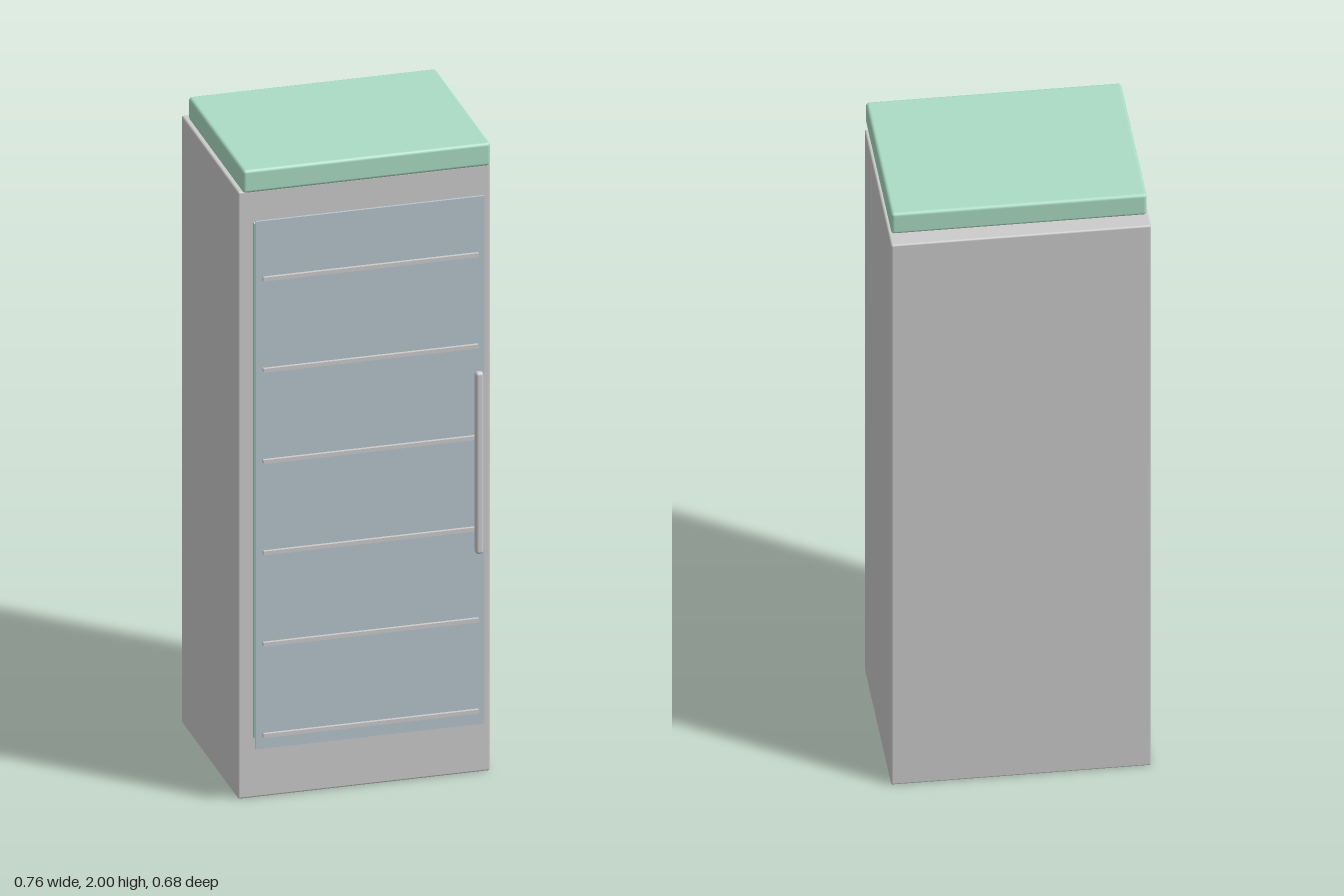
import * as THREE from 'three';
import { RoundedBoxGeometry } from 'three/addons/geometries/RoundedBoxGeometry.js';

const mat = (color, flatShading = false) => new THREE.MeshStandardMaterial({ color, flatShading });

export function createModel() {
  const model = new THREE.Group();
  const grey = mat(0xcccccc);
  const green = mat(0xaadcc4);
  const glass = mat(0xb6c5cd);
  const canMats = [mat(0xcccccc, true), mat(0xc42b20, true), mat(0x2458b8, true)];

  const add = (name, geometry, material, x, y, z, parent = model) => {
    const mesh = new THREE.Mesh(geometry, material);
    mesh.name = name;
    mesh.position.set(x, y, z);
    parent.add(mesh);
    return mesh;
  };

  // Cabinet and the lit sign box on top
  add('cabinet', new RoundedBoxGeometry(0.764, 1.922, 0.592, 2, 0.006), grey, 0, 0.961, -0.045);
  add('topSign', new RoundedBoxGeometry(0.75, 0.073, 0.575, 2, 0.01), green, 0, 1.9635, -0.0075);

  // Glass door and its upright handle
  add('glassDoor', new THREE.BoxGeometry(0.692, 1.67, 0.008), glass, 0, 1.015, 0.311);
  add('doorHandle', new RoundedBoxGeometry(0.024, 0.575, 0.024, 3, 0.009), grey, 0.325, 1.015, 0.329);

  // Light strips either side of the shelves
  for (const side of [-1, 1]) {
    add('lightStrip', new THREE.BoxGeometry(0.016, 1.63, 0.016), green, side * 0.334, 1.015, 0.277);
  }

  // Six shelves, each with a row of seven six-sided cans in repeating colours
  const shelfGeometry = new THREE.BoxGeometry(0.652, 0.012, 0.096);
  const canGeometry = new THREE.CylinderGeometry(0.033, 0.033, 0.118, 6, 1, false, Math.PI / 6);
  for (let row = 0; row < 6; row++) {
    const stock = new THREE.Group();
    stock.name = 'stockedShelf';
    stock.position.set(0, 0.224 + row * 0.289, 0.277);
    model.add(stock);
    add('shelf', shelfGeometry, grey, 0, 0, 0, stock);
    for (let i = 0; i < 7; i++) {
      add('can', canGeometry, canMats[(i + row + 1) % 3], (i - 3) * 0.0965, 0.065, 0, stock);
    }
  }
  return model;
}
